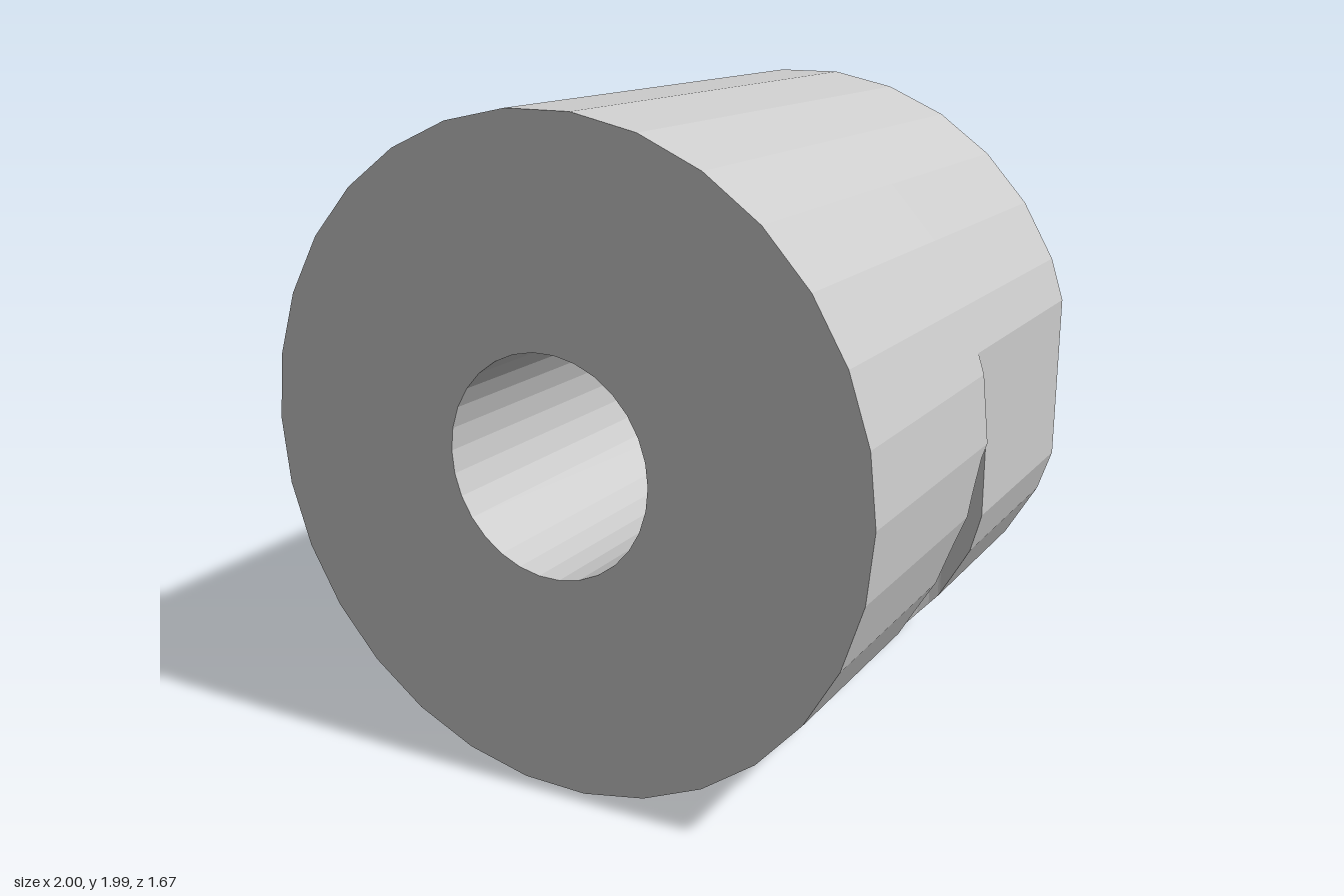
import * as THREE from 'three';

const SIDES = 30, HALF = 0.833, BORE = 0.333;
const FLAT = 0.958;                 // x of the flat on the rear half
const R = 0.1667, CX = 0.8333;      // vertical groove: radius and axis x
const MID = Math.cos(Math.PI / SIDES * 1); // height of the axis above the ground

// Half width of the groove at a given x
const grooveZ = x => Math.sqrt(Math.max(0, R * R - (x - CX) ** 2));

// Outline in xy, counterclockwise, with extra points where the groove and flat cut it
function outline() {
  const cuts = [FLAT];
  for (let i = 0; i <= 15; i++) cuts.push(CX - R * Math.cos(i * Math.PI / 15));
  cuts.sort((a, b) => a - b);
  const corner = k => {
    const a = (k % SIDES) * 2 * Math.PI / SIDES;
    return new THREE.Vector2(Math.cos(a), Math.sin(a));
  };
  const pts = [];
  for (let k = 0; k < SIDES; k++) {
    const p = corner(k), q = corner(k + 1);
    pts.push(p);
    const xs = k >= SIDES * 0.75 ? cuts : k < 5 ? [FLAT] : [];
    for (const x of xs) {
      const t = (x - p.x) / (q.x - p.x);
      if (t > 1e-4 && t < 1 - 1e-4) pts.push(p.clone().lerp(q, t));
    }
  }
  return pts;
}

// Collects quads into one geometry
function quadMesh(name, material, fill) {
  const pos = [];
  fill((a, b, c, d) => pos.push(...a, ...b, ...c, ...a, ...c, ...d));
  const g = new THREE.BufferGeometry();
  g.setAttribute('position', new THREE.Float32BufferAttribute(pos, 3));
  g.computeVertexNormals();
  const mesh = new THREE.Mesh(g, material);
  mesh.name = name;
  return mesh;
}

export function createModel() {
  const group = new THREE.Group();
  group.name = 'notchedSleeve';
  const material = new THREE.MeshStandardMaterial({ color: 0xcccccc, flatShading: true });
  const front = outline();
  const back = front.map(p => new THREE.Vector2(Math.min(p.x, FLAT), p.y));
  const segments = pts => pts.map((p, i) => [p, pts[(i + 1) % pts.length]]);
  const inGroove = (p, q) => p.y + q.y < 0 && p.x > CX - R - 1e-4 && q.x > p.x - 1e-6;

  // Outer skin of both halves, opened along the groove
  group.add(quadMesh('outerWall', material, quad => {
    for (const [pts, s] of [[front, 1], [back, -1]]) {
      for (const [p, q] of segments(pts)) {
        const cut = inGroove(p, q);
        const zp = cut ? s * grooveZ(p.x) : 0, zq = cut ? s * grooveZ(q.x) : 0;
        const a = [p.x, p.y, zp], b = [q.x, q.y, zq];
        const c = [q.x, q.y, s * HALF], d = [p.x, p.y, s * HALF];
        if (s > 0) quad(a, b, c, d); else quad(d, c, b, a);
      }
    }
  }));

  // Concave groove wall, rising to the level of the axis
  group.add(quadMesh('grooveWall', material, quad => {
    for (const [pts, s] of [[front, 1], [back, -1]]) {
      for (const [p, q] of segments(pts)) {
        if (!inGroove(p, q) || q.x - p.x < 1e-6) continue;
        const zp = s * grooveZ(p.x), zq = s * grooveZ(q.x);
        const a = [p.x, p.y, zp], b = [q.x, q.y, zq], c = [q.x, 0, zq], d = [p.x, 0, zp];
        if (s > 0) quad(d, c, b, a); else quad(a, b, c, d);
      }
    }
  }));

  // Flat ceiling that ends the groove, facing down
  group.add(quadMesh('grooveCeiling', material, quad => {
    for (const [p, q] of segments(front)) {
      if (!inGroove(p, q)) continue;
      const rear = (p.x + q.x) / 2 < FLAT ? -1 : 0;
      const zp = grooveZ(p.x), zq = grooveZ(q.x);
      quad([p.x, 0, rear * zp], [q.x, 0, rear * zq], [q.x, 0, zq], [p.x, 0, zp]);
    }
  }));

  // Small step between the round front half and the flat, facing back
  group.add(quadMesh('flatStep', material, quad => {
    const [p0, p1, p2] = front;
    quad([FLAT, 0, 0], [p2.x, p2.y, 0], [p1.x, p1.y, 0], [p0.x, p0.y, 0]);
  }));

  // Ring-shaped end faces
  for (const [name, pts, s] of [['frontFace', front, 1], ['backFace', back, -1]]) {
    const shape = new THREE.Shape(pts);
    const hole = [];
    for (let k = 0; k < SIDES; k++) {
      const a = -k * 2 * Math.PI / SIDES;
      hole.push(new THREE.Vector2(BORE * Math.cos(a), BORE * Math.sin(a)));
    }
    shape.holes.push(new THREE.Path(hole));
    const face = new THREE.Mesh(new THREE.ShapeGeometry(shape).scale(1, 1, s), material);
    // Scaling by -1 mirrors the positions, so the corner order is turned round
    if (s < 0) face.geometry.index.array.reverse();
    face.geometry.computeVertexNormals();
    face.geometry.translate(0, 0, s * HALF);
    face.name = name;
    group.add(face);
  }

  // Bore through the centre, facing inwards
  group.add(quadMesh('bore', material, quad => {
    for (let k = 0; k < SIDES; k++) {
      const at = (i, z) => {
        const a = i * 2 * Math.PI / SIDES;
        return [BORE * Math.cos(a), BORE * Math.sin(a), z];
      };
      quad(at(k, HALF), at(k + 1, HALF), at(k + 1, -HALF), at(k, -HALF));
    }
  }));

  group.children.forEach(m => m.geometry.translate(0, MID, 0));
  return group;
}
